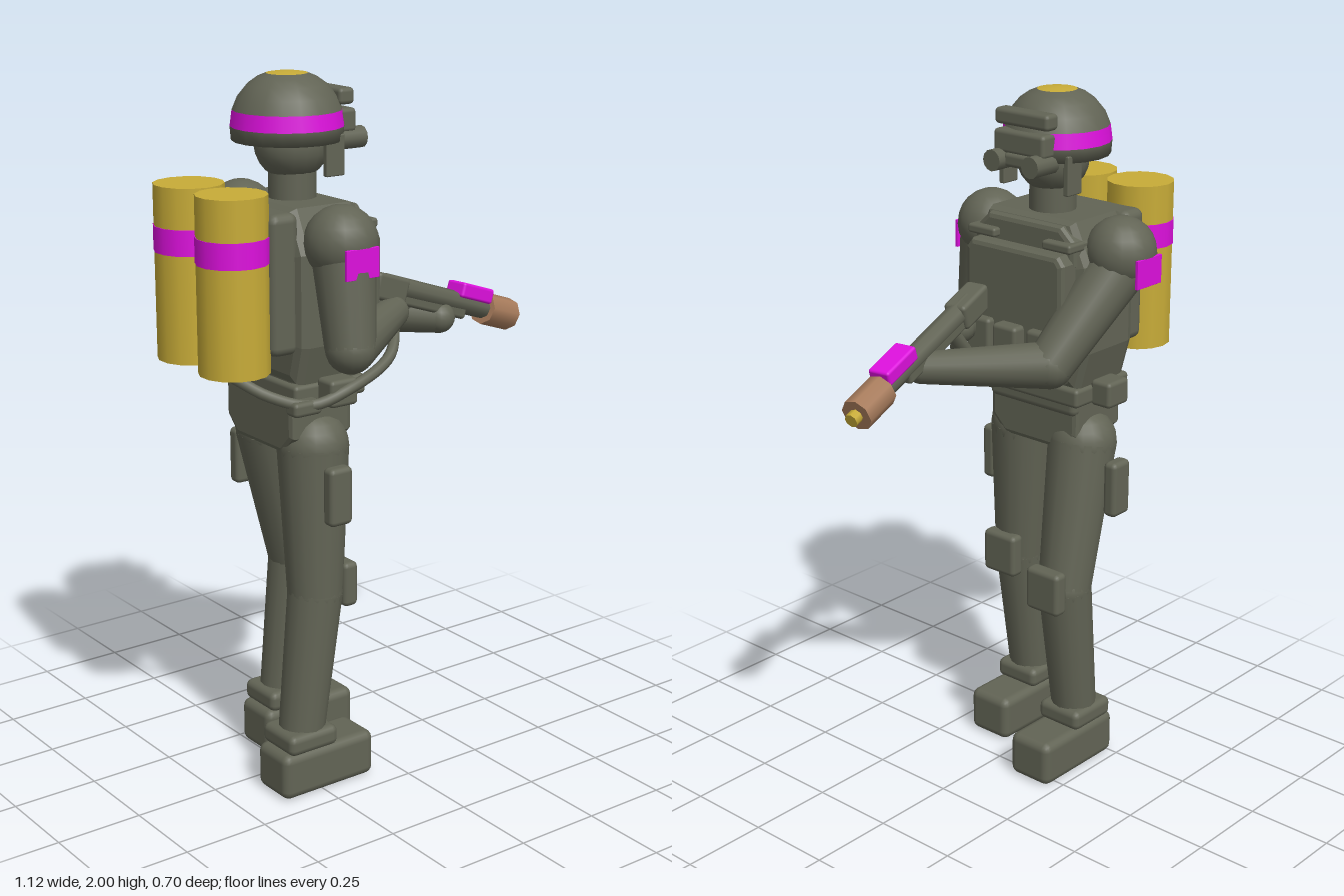
import * as THREE from 'three';
import { RoundedBoxGeometry } from 'three/addons/geometries/RoundedBoxGeometry.js';

const material = (name, color) => {
  const m = new THREE.MeshStandardMaterial({ color });
  m.name = name;
  return m;
};
const V = (p) => new THREE.Vector3(...p);
const MID = -0.02; // the figure's own centre plane in z

export function createModel() {
  const model = new THREE.Group();
  const olive = material('olive', 0x626455);
  const yellow = material('tank yellow', 0xc8ac38);
  const magenta = material('marking magenta', 0xdd10dd);
  const brown = material('muzzle brown', 0xa87c5c);

  const add = (name, geo, mat = olive, parent = model) => {
    const mesh = new THREE.Mesh(geo, mat);
    mesh.name = name;
    parent.add(mesh);
    return mesh;
  };
  // Rounded box given by its min and max corners
  const box = (name, a, b, mat = olive, r = 0.012, parent = model) => {
    const s = a.map((v, i) => b[i] - v);
    const mesh = add(name, new RoundedBoxGeometry(...s, 2, Math.min(r, ...s.map((v) => v * 0.45))), mat, parent);
    mesh.position.set(...a.map((v, i) => (v + b[i]) / 2));
    return mesh;
  };
  // Tapered rod from p to q
  const rod = (name, p, q, r0, r1, mat = olive, sides = 16) => {
    const a = V(p), d = V(q).sub(a);
    const mesh = add(name, new THREE.CylinderGeometry(r1, r0, d.length(), sides), mat);
    mesh.position.copy(a).addScaledVector(d, 0.5);
    mesh.quaternion.setFromUnitVectors(new THREE.Vector3(0, 1, 0), d.normalize());
    return mesh;
  };
  const ball = (name, p, r, mat = olive) => {
    const mesh = add(name, new THREE.SphereGeometry(r, 18, 12), mat);
    mesh.position.set(...p);
    return mesh;
  };
  // Chain of tapered rods with rounded joints
  const limb = (name, pts, radii) => pts.forEach((p, i) => {
    ball(name + 'Joint', p, radii[i]);
    if (i) rod(name, pts[i - 1], p, radii[i - 1], radii[i]);
  });
  // Bevelled slab: (half width, y) outline in the z-y plane, thick along x
  const slab = (name, half, x0, x1, b = 0.015) => {
    const pts = [...half, ...half.map(([w, y]) => [-w, y]).reverse()];
    const geo = new THREE.ExtrudeGeometry(new THREE.Shape(pts.map((p) => new THREE.Vector2(...p))), {
      depth: x1 - x0 - 2 * b, bevelThickness: b, bevelSize: b, bevelOffset: -b, bevelSegments: 2,
    });
    geo.rotateY(Math.PI / 2).translate(x0 + b, 0, MID);
    return add(name, geo);
  };

  // Legs, boots and pads; the +z leg stands further back
  for (const s of [1, -1]) {
    const z = MID + s * 0.135;
    const near = s > 0;
    const kneeX = near ? -0.23 : -0.11, ankleX = near ? -0.28 : -0.16;
    limb('leg', [[near ? -0.22 : -0.205, 1.0, MID + s * 0.115], [kneeX, 0.58, z], [ankleX, 0.17, z]], [0.1, 0.078, 0.066]);
    const heel = near ? -0.385 : -0.26;
    box('boot', [heel, 0, z - 0.073], [heel + 0.31, 0.135, z + 0.073], olive, 0.025);
    box('ankleCuff', [ankleX - 0.085, 0.13, z - 0.075], [ankleX + 0.078, 0.19, z + 0.075], olive, 0.02);
    box('kneePad', [kneeX + 0.06, 0.53, z - 0.06], [kneeX + 0.108, 0.66, z + 0.06], olive, 0.015);
    const t = MID + s * 0.23;
    box('thighPouch', [-0.255, 0.8, t - 0.025], [-0.18, 0.965, t + 0.02], olive, 0.015);
  }

  // Hips and belt
  slab('pelvis', [[0.11, 0.99], [0.16, 1.04], [0.16, 1.15]], -0.32, -0.12);
  box('waist', [-0.31, 1.1, MID - 0.16], [-0.11, 1.25, MID + 0.16], olive, 0.02);
  box('belt', [-0.325, 1.14, MID - 0.185], [-0.09, 1.195, MID + 0.185]);
  for (const s of [1, -1]) {
    const z = MID + s * 0.21;
    box('beltPouch', [-0.25, 1.135, z - 0.035], [-0.16, 1.21, z + 0.035]);
  }

  // Torso with front and back plates
  slab('torso', [[0.175, 1.19], [0.205, 1.3], [0.205, 1.55], [0.15, 1.665]], -0.32, -0.09, 0.03);
  slab('chestPlate', [[0.15, 1.21], [0.175, 1.26], [0.175, 1.56], [0.155, 1.585]], -0.11, -0.03);
  slab('collarPlate', [[0.18, 1.55], [0.18, 1.61], [0.13, 1.655]], -0.2, -0.075, 0.015);
  box('backPlate', [-0.39, 1.28, MID - 0.18], [-0.3, 1.66, MID + 0.18], olive, 0.025);
  for (const s of [1, -1]) {
    const z = MID + s * 0.135;
    box('chestClip', [-0.12, 1.592, z - 0.05], [-0.05, 1.618, z + 0.05], olive, 0.008);
  }
  for (const i of [-1, 0, 1]) {
    const z = MID + i * 0.11;
    box('bellyPouch', [-0.06, 1.25, z - 0.043], [i ? -0.005 : 0.01, 1.37, z + 0.043]);
  }

  // Neck, head and chin straps
  rod('neck', [-0.2, 1.62, MID], [-0.2, 1.76, MID], 0.066, 0.066);
  const head = ball('head', [-0.2, 1.81, MID], 0.1);
  head.scale.set(1.05, 1, 1);
  for (const s of [1, -1]) {
    const z = MID + s * 0.115;
    box('chinStrap', [-0.175, 1.73, z - 0.009], [-0.115, 1.84, z + 0.009], olive, 0.004);
  }

  // Helmet rings turned from one profile, coloured by zone
  const ring = (name, pts, mat) => {
    const mesh = add(name, new THREE.LatheGeometry(pts.map((p) => new THREE.Vector2(...p)), 18), mat);
    mesh.position.set(-0.214, 0, MID);
  };
  ring('helmetRim', [[0, 1.822], [0.15, 1.82], [0.153, 1.857]], olive);
  ring('helmetBand', [[0.153, 1.857], [0.147, 1.9]], magenta);
  ring('helmetShell', [[0.147, 1.9], [0.132, 1.936], [0.107, 1.966], [0.08, 1.985], [0.056, 1.995]], olive);
  ring('helmetCap', [[0.056, 1.995], [0.03, 1.999], [0, 2]], yellow);

  // Goggles and their mount
  box('gogglesMount', [-0.11, 1.91, MID - 0.095], [-0.06, 1.955, MID + 0.095]);
  box('gogglesBrow', [-0.14, 1.835, MID - 0.09], [-0.05, 1.9, MID + 0.09]);
  box('gogglesBridge', [-0.11, 1.8, MID - 0.05], [-0.045, 1.84, MID + 0.05]);
  for (const s of [1, -1]) {
    const z = MID + s * 0.068;
    rod('gogglesLens', [-0.11, 1.818, z], [-0.02, 1.818, z], 0.03, 0.03, olive, 12);
  }

  // Shoulders, arm patches and arms
  for (const s of [1, -1]) {
    ball('shoulder', [-0.21, 1.58, MID + s * 0.235], 0.1);
    const z = MID + s * 0.329;
    box('armPatch', [-0.265, 1.5, z - 0.0045], [-0.16, 1.58, z + 0.0045], magenta, 0.001);
  }
  limb('leftArm', [[-0.21, 1.55, 0.225], [-0.225, 1.31, 0.275], [0.03, 1.34, 0.125]], [0.085, 0.068, 0.045]);
  limb('rightArm', [[-0.21, 1.55, -0.255], [0.01, 1.295, -0.19], [0.235, 1.285, 0.075]], [0.085, 0.066, 0.045]);

  // Tanks with a band each
  for (const z of [0.08, -0.125]) {
    rod('tank', [-0.46, 1.24, z], [-0.46, 1.715, z], 0.096, 0.096, yellow, 14);
    rod('tankBand', [-0.46, 1.535, z], [-0.46, 1.605, z], 0.098, 0.098, magenta, 14);
  }

  // Gun, laid out along its own axis from rear to tip
  const rear = V([-0.04, 1.435, 0.11]), tip = V([0.555, 1.232, 0.025]);
  const at = (t, up = 0) => rear.clone().lerp(tip, t).add(new THREE.Vector3(0.32 * up, up * 0.94, 0)).toArray();
  rod('gunBarrel', at(0.1), at(0.85), 0.032, 0.03, olive, 8);
  rod('gunMuzzle', at(0.775), at(0.96), 0.047, 0.047, brown, 8);
  rod('gunTip', at(0.95), at(1), 0.02, 0.02, yellow, 8);
  rod('gunGrip', at(0.27, -0.01), at(0.2, -0.12), 0.02, 0.02, olive, 8);
  const gun = new THREE.Group();
  gun.name = 'gunBody';
  gun.position.copy(rear);
  const dir = tip.clone().sub(rear);
  gun.rotation.set(0, Math.atan2(-dir.z, dir.x), Math.atan2(dir.y, Math.hypot(dir.x, dir.z)), 'YXZ');
  model.add(gun);
  box('gunReceiver', [0, -0.045, -0.036], [0.13, 0.03, 0.036], olive, 0.012, gun);
  box('gunForeEnd', [0.1, -0.045, -0.025], [0.4, 0, 0.025], olive, 0.01, gun);
  box('gunMarker', [0.355, 0.015, -0.034], [0.49, 0.058, 0.034], magenta, 0.008, gun);

  // Hose from the tank to the gun
  const hose = new THREE.CatmullRomCurve3([
    [-0.47, 1.23, 0.08], [-0.4, 1.18, 0.15], [-0.3, 1.15, 0.2], [-0.2, 1.18, 0.225],
    [-0.03, 1.24, 0.19], [0.04, 1.32, 0.12], [0.05, 1.4, 0.1],
  ].map(V));
  add('hose', new THREE.TubeGeometry(hose, 32, 0.016, 8));
  box('hoseFitting', [-0.36, 1.125, 0.165], [-0.27, 1.165, 0.215]);
  return model;
}
